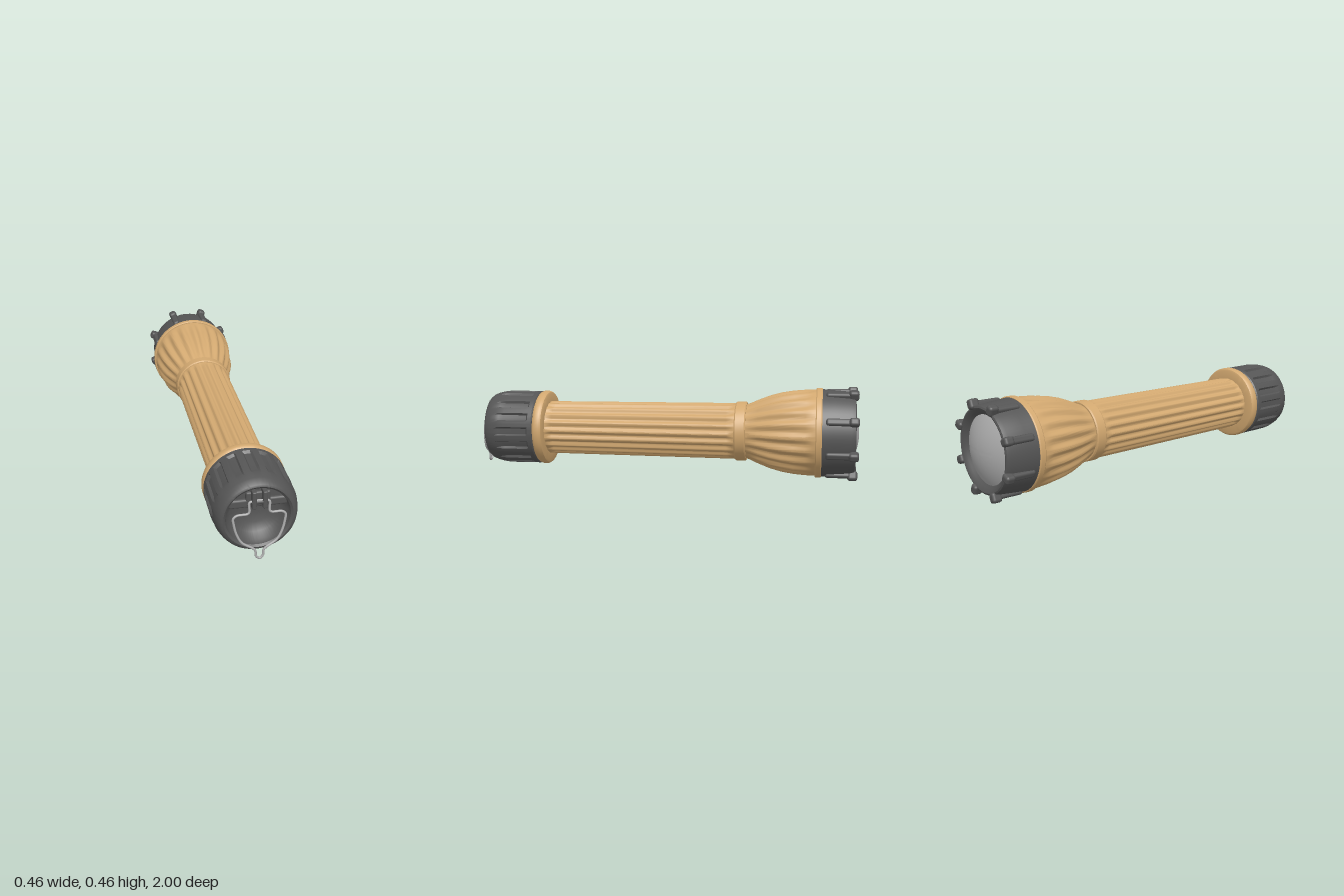
import * as THREE from 'three';
import { toCreasedNormals } from 'three/addons/utils/BufferGeometryUtils.js';
import { RoundedBoxGeometry } from 'three/addons/geometries/RoundedBoxGeometry.js';

const tan = new THREE.MeshStandardMaterial({ color: 0xd2a870 });
const dark = new THREE.MeshStandardMaterial({ color: 0x555555 });
const steel = new THREE.MeshStandardMaterial({ color: 0xaaaaaa });

// Flute shapes: 0 on the ridge, 1 at the bottom of the groove
const scallop = (a, n) => 0.5 - 0.5 * Math.cos(a * n);
const slot = (a, n) => THREE.MathUtils.smoothstep(Math.cos(a * n), -0.35, 0.1);

// Turned part along z. Profile rows are [z, radius, groove depth], in rising z.
function turned(name, material, profile, n = 0, shape = scallop, segments = 64) {
  const points = profile.map(([z, r]) => new THREE.Vector2(r, z));
  const geo = new THREE.LatheGeometry(points, n ? n * 10 : segments);
  const pos = geo.attributes.position;
  if (n) {
    for (let i = 0; i < pos.count; i++) {
      const [, r, depth = 0] = profile[i % profile.length];
      const a = Math.atan2(pos.getX(i), pos.getZ(i));
      const k = r - depth * shape(a, n);
      pos.setX(i, Math.sin(a) * k);
      pos.setZ(i, Math.cos(a) * k);
    }
  }
  geo.rotateX(Math.PI / 2);
  const mesh = new THREE.Mesh(toCreasedNormals(geo, 0.6), material);
  mesh.name = name;
  return mesh;
}

function box(name, material, size, at, radius = 0.005) {
  const mesh = new THREE.Mesh(new RoundedBoxGeometry(...size, 2, radius), material);
  mesh.position.set(...at);
  mesh.name = name;
  return mesh;
}

export function createModel() {
  const model = new THREE.Group();
  model.name = 'flashlight';
  const body = new THREE.Group();
  body.name = 'body';
  body.position.y = 0.2295;
  body.rotation.x = 0.0056;
  model.add(body);

  // Fluted barrel and the plain rings at its ends
  body.add(turned('barrel', tan, [
    [-0.38, 0.147, 0], [-0.36, 0.147, 0.004], [-0.33, 0.147, 0.013],
    [0.6, 0.142, 0.013], [0.625, 0.141, 0.006], [0.645, 0.14, 0],
  ], 20));
  body.add(turned('neckCollar', tan, [
    [-0.428, 0.13], [-0.428, 0.149], [-0.422, 0.154], [-0.376, 0.154], [-0.37, 0.149], [-0.37, 0.13],
  ]));
  body.add(turned('tailFlange', tan, [
    [0.636, 0.13], [0.636, 0.182], [0.64, 0.191], [0.65, 0.197],
    [0.672, 0.197], [0.682, 0.193], [0.688, 0.185], [0.688, 0.16],
  ]));

  // Flared, fluted head
  body.add(turned('head', tan, [
    [-0.785, 0.222, 0], [-0.765, 0.222, 0.002], [-0.73, 0.222, 0.012], [-0.67, 0.217, 0.015],
    [-0.61, 0.207, 0.015], [-0.55, 0.191, 0.014], [-0.49, 0.168, 0.011],
    [-0.45, 0.15, 0.006], [-0.425, 0.14, 0],
  ], 20));
  body.add(turned('headFlange', tan, [
    [-0.812, 0.2], [-0.812, 0.227], [-0.807, 0.231], [-0.785, 0.231], [-0.78, 0.227], [-0.78, 0.2],
  ]));

  // Lens bezel with eight lugs
  body.add(turned('bezel', dark, [
    [-0.945, 0.16], [-0.962, 0.178], [-0.975, 0.192], [-0.978, 0.2],
    [-0.974, 0.208], [-0.955, 0.213], [-0.87, 0.22], [-0.81, 0.225],
  ]));
  for (let i = 0; i < 8; i++) {
    const lug = new THREE.Group();
    lug.name = 'bezelLug';
    lug.add(box('lugRidge', dark, [0.036, 0.04, 0.14], [0, 0.214, -0.9], 0.012));
    lug.add(box('lugTip', dark, [0.042, 0.05, 0.05], [0, 0.221, -0.967], 0.014));
    lug.rotation.z = (i + 0.5) * Math.PI / 4;
    body.add(lug);
  }
  const dome = [];
  for (let i = 0; i <= 10; i++) {
    const r = 0.172 * i / 10;
    dome.push([-0.999 + 0.05 * (i / 10) ** 2, r]);
  }
  body.add(turned('lens', steel, dome));

  // Tail cap with grip slots and a hollow end
  body.add(turned('tailCap', dark, [
    [0.686, 0.15, 0], [0.686, 0.19, 0], [0.692, 0.195, 0], [0.712, 0.195, 0], [0.722, 0.195, 0.012],
    [0.845, 0.196, 0.012], [0.875, 0.194, 0.006], [0.895, 0.191, 0], [0.925, 0.184, 0], [0.945, 0.176, 0],
    [0.957, 0.166, 0], [0.96, 0.156, 0], [0.952, 0.146, 0], [0.925, 0.138, 0], [0.9, 0.115, 0],
    [0.882, 0.075, 0], [0.875, 0.035, 0], [0.873, 0, 0],
  ], 16, slot));

  // Shelf that fills the upper part of the hollow
  const a0 = Math.asin(0.045 / 0.15);
  const segment = new THREE.Shape();
  segment.absarc(0, 0, 0.15, a0, Math.PI - a0, false);
  segment.closePath();
  const shelf = new THREE.Mesh(
    new THREE.ExtrudeGeometry(segment, { depth: 0.06, bevelEnabled: false, curveSegments: 24 }), dark);
  shelf.position.z = 0.872;
  shelf.name = 'tailShelf';
  body.add(shelf);
  body.add(box('shelfBar', dark, [0.26, 0.042, 0.07], [0, 0.067, 0.911], 0.01));
  body.add(box('hingeBase', dark, [0.11, 0.07, 0.07], [0, 0.09, 0.913], 0.008));

  // Hinge prongs and pin
  for (const s of [-1, 1]) {
    body.add(box('hingeProng', dark, [0.02, 0.085, 0.05], [s * 0.024, 0.1, 0.955]));
  }
  const pin = new THREE.Mesh(new THREE.CylinderGeometry(0.01, 0.01, 0.07, 16), dark);
  pin.rotation.z = Math.PI / 2;
  pin.position.set(0, 0.088, 0.967);
  pin.name = 'hingePin';
  body.add(pin);

  // Wire hanging loop, mirrored about x = 0
  const half = [
    [0.036, 0.092], [0.045, 0.086], [0.045, 0.042], [0.054, 0.034], [0.1, 0.031], [0.116, 0.018],
    [0.114, -0.01], [0.102, -0.06], [0.078, -0.105], [0.03, -0.138], [0.019, -0.15], [0.015, -0.178],
  ];
  const outline = [...half, [0, -0.19], ...half.map(([x, y]) => [-x, y]).reverse()];
  const path = new THREE.CatmullRomCurve3(
    outline.map(([x, y]) => new THREE.Vector3(x, y, 0.967 + (0.092 - y) * 0.094)), true, 'centripetal');
  const loop = new THREE.Mesh(new THREE.TubeGeometry(path, 160, 0.0055, 10, true), steel);
  loop.name = 'hangingLoop';
  body.add(loop);

  return model;
}
